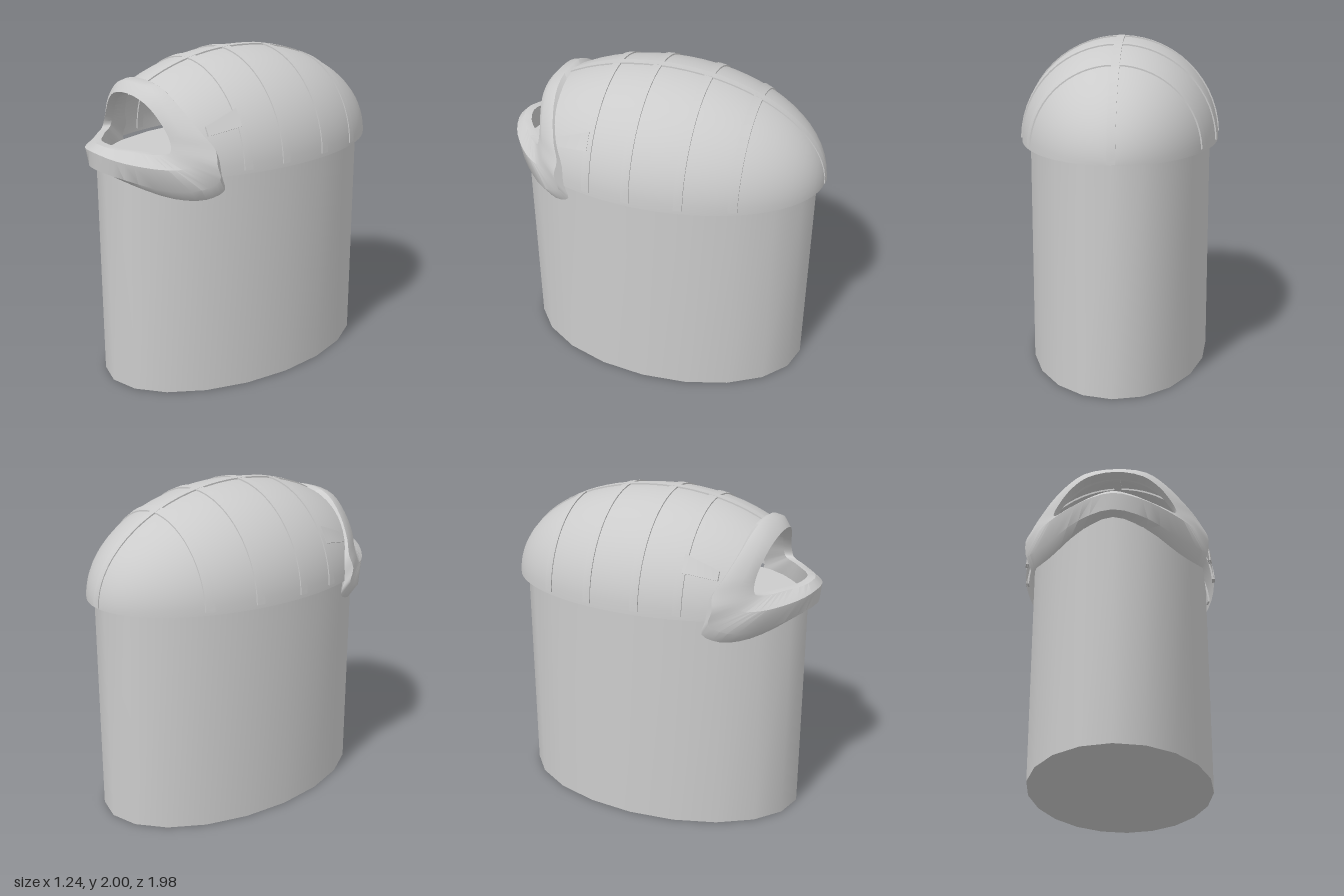
import * as THREE from 'three';
import { toCreasedNormals } from 'three/addons/utils/BufferGeometryUtils.js';

const RX = 0.612, RY = 0.612, RZ = 0.985, BASE = 1.38;
const V = (x, y, z) => new THREE.Vector3(x, y, z);
const material = new THREE.MeshStandardMaterial({ color: 0xcccccc, side: THREE.DoubleSide });

// Skin a list of equally sized point rows
function loft(rows, wrapPoints, wrapRows, crease) {
  const n = rows[0].length, m = rows.length, index = [];
  for (let i = 0; i < (wrapRows ? m : m - 1); i++) {
    for (let j = 0; j < (wrapPoints ? n : n - 1); j++) {
      const a = i * n + j, b = i * n + (j + 1) % n;
      const c = ((i + 1) % m) * n + j, d = ((i + 1) % m) * n + (j + 1) % n;
      index.push(a, c, b, b, c, d);
    }
  }
  const g = new THREE.BufferGeometry().setFromPoints(rows.flat());
  g.setIndex(index);
  g.computeVertexNormals();
  return crease ? toCreasedNormals(g, crease) : g;
}

function add(group, name, geometry) {
  const mesh = new THREE.Mesh(geometry, material);
  mesh.name = name;
  group.add(mesh);
  return mesh;
}

// Point on the dome: a = angle over the top from +x, z = position along it, out = height above the surface
function domePoint(a, z, out = 0) {
  const s = Math.sqrt(Math.max(0, 1 - (z / RZ) ** 2));
  return V((RX * s + out) * Math.cos(a), BASE + (RY * s + out) * Math.sin(a), z);
}

// Bar with four-cornered sections and closed ends
function bar(sections) {
  const cap = s => {
    const c = s.reduce((sum, p) => sum.add(p), V(0, 0, 0)).divideScalar(4);
    return s.map(() => c.clone());
  };
  return loft([cap(sections[0]), ...sections, cap(sections.at(-1))], true, false, 0.6);
}

// Closed left-right symmetric loop through half a set of points
function mirroredLoop(half, samples = 60) {
  const other = half.slice(1, -1).reverse().map(p => V(-p.x, p.y, p.z));
  const curve = new THREE.CatmullRomCurve3([...half, ...other], true, 'centripetal');
  return Array.from({ length: samples }, (_, i) => curve.getPoint(i / samples));
}

export function createModel() {
  const model = new THREE.Group();
  model.name = 'domedBin';

  // Oval body
  const body = add(model, 'body', toCreasedNormals(new THREE.CylinderGeometry(1, 1, BASE, 20).scale(0.56, 1, 0.928), 0.7));
  body.position.set(0, BASE / 2, -0.01);

  // Dome shell, open at the front
  const rows = [];
  for (let i = 0; i <= 24; i++) {
    const row = [];
    for (let j = 0; j <= 32; j++) {
      const a = Math.PI * j / 32;
      const front = 0.52 + 0.15 * Math.sin(a);
      const phiMax = Math.acos(-front / RZ);
      row.push(domePoint(a, -RZ * Math.cos(phiMax * i / 24)));
    }
    rows.push(row);
  }
  add(model, 'dome', loft(rows, true === false, false));

  // Cross ribs over the dome
  for (const z of [0.315, 0.06, -0.255, -0.555]) {
    const sections = [];
    for (let i = 0; i <= 28; i++) {
      const a = 0.04 + (Math.PI - 0.08) * i / 28;
      sections.push([[-0.025, 0.008], [0.025, 0.008], [0.025, -0.012], [-0.025, -0.012]].map(([dz, out]) => {
        const p = domePoint(a, z + dz, out);
        return p;
      }));
    }
    add(model, 'crossRib', bar(sections));
  }

  // Rib along the ridge
  const ridge = [];
  for (let i = 0; i <= 28; i++) {
    const t = 0.01 + (Math.acos(-0.63 / RZ) - 0.01) * i / 28;
    const at = (x, out) => V(x, BASE + (RY + out) * Math.sin(t), -(RZ + out * 0.6) * Math.cos(t));
    ridge.push([at(-0.024, 0.008), at(0.024, 0.008), at(0.024, -0.012), at(-0.024, -0.012)]);
  }
  add(model, 'ridgeRib', bar(ridge));

  // Short side straps between the front rib and the mouth frame
  for (const side of [1, -1]) {
    const strap = [];
    for (let i = 0; i <= 4; i++) {
      const z = 0.32 + 0.05 * i, low = 0.47 - 0.005 * i, high = 0.66 - 0.025 * i;
      const at = (a, out) => {
        const p = domePoint(a, z, out);
        p.x *= side;
        return p;
      };
      strap.push([at(low, 0.012), at(high, 0.012), at(high, -0.01), at(low, -0.01)]);
    }
    add(model, side > 0 ? 'leftStrap' : 'rightStrap', bar(strap));
  }

  // Mouth frame: outer edge, bulging face, lip of the opening, and their inner sides
  const outer = [
    V(0, 1.87, 0.64), V(0.2, 1.84, 0.63), V(0.35, 1.74, 0.6), V(0.47, 1.62, 0.55),
    V(0.53, 1.54, 0.51), V(0.562, 1.46, 0.52), V(0.56, 1.37, 0.5), V(0.52, 1.32, 0.6),
    V(0.4, 1.31, 0.74), V(0.2, 1.36, 0.91), V(0, 1.385, 0.98)];
  const crest = [
    V(0, 1.855, 0.7), V(0.19, 1.83, 0.69), V(0.31, 1.74, 0.68), V(0.41, 1.63, 0.655),
    V(0.46, 1.56, 0.625), V(0.48, 1.5, 0.63), V(0.47, 1.45, 0.66), V(0.41, 1.44, 0.75),
    V(0.31, 1.45, 0.85), V(0.17, 1.47, 0.945), V(0, 1.49, 0.99)];
  const lip = [
    V(0, 1.8, 0.75), V(0.17, 1.77, 0.74), V(0.27, 1.7, 0.72), V(0.34, 1.61, 0.7),
    V(0.368, 1.55, 0.7), V(0.368, 1.52, 0.71), V(0.34, 1.51, 0.74), V(0.29, 1.51, 0.79),
    V(0.21, 1.515, 0.85), V(0.11, 1.52, 0.92), V(0, 1.53, 0.95)];
  const outerBack = outer.map(p => V(p.x * 0.95, p.y - 0.02 - 0.1 * p.x, p.z - 0.05));
  const lipBack = lip.map(p => V(p.x * 0.97, 1.51 + (p.y - 1.51) * 0.93, p.z - 0.05));
  const loops = [outerBack, outer, crest, lip, lipBack].map(half => mirroredLoop(half));
  add(model, 'mouthFrame', loft(loops, true, true, 0.75));

  return model;
}
